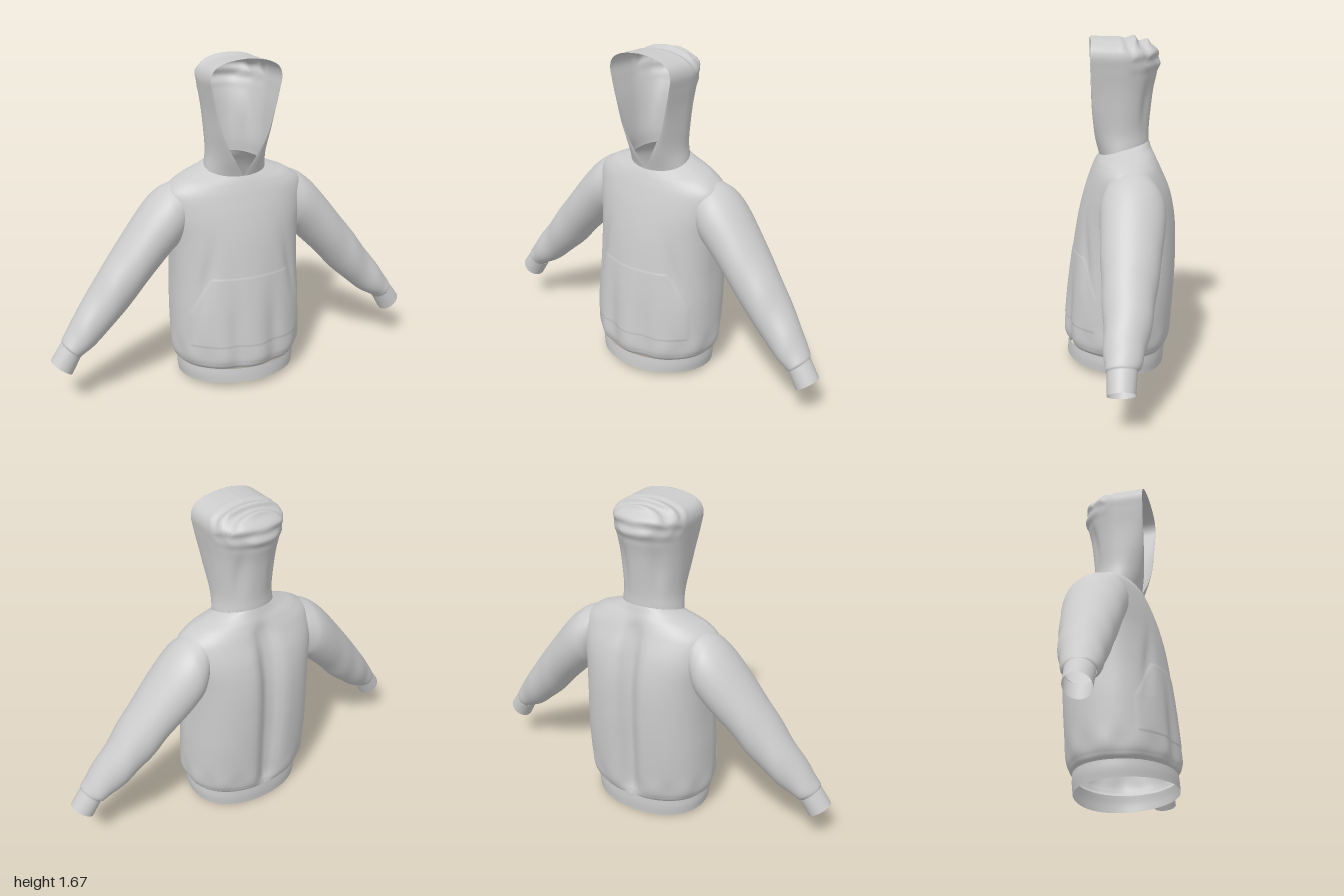
import * as THREE from 'three';
import { ParametricGeometry } from 'three/addons/geometries/ParametricGeometry.js';

const cloth = new THREE.MeshStandardMaterial({ color: 0xcccccc, side: THREE.DoubleSide, roughness: 0.9 });
const { lerp, smoothstep, clamp } = THREE.MathUtils;
const bump = (x, mid, width) => Math.exp(-(((x - mid) / width) ** 2));

// Smooth interpolation through a list of cross-sections; t runs 0..1
function sections(rows) {
  const spline = new THREE.CubicInterpolant(rows.map((_, i) => i), rows.flat(), rows[0].length);
  return t => Array.from(spline.evaluate(clamp(t, 0, 1) * (rows.length - 1)));
}

function surface(name, fn, nu, nv) {
  const mesh = new THREE.Mesh(new ParametricGeometry(fn, nu, nv), cloth);
  mesh.name = name;
  return mesh;
}

// Body: front y, back y, half width, front z, back z, back squareness, back groove depth
const bodyAt = sections([
  [0.115, 0.100, 0.315, 0.264, -0.235, 2.2, 0.00],
  [0.140, 0.125, 0.333, 0.278, -0.250, 2.2, 0.02],
  [0.200, 0.190, 0.345, 0.283, -0.264, 2.3, 0.045],
  [0.400, 0.400, 0.345, 0.265, -0.280, 2.5, 0.055],
  [0.600, 0.600, 0.338, 0.238, -0.288, 2.6, 0.055],
  [0.770, 0.780, 0.342, 0.210, -0.283, 2.6, 0.055],
  [0.900, 0.920, 0.362, 0.178, -0.256, 2.6, 0.05],
  [1.000, 1.030, 0.362, 0.144, -0.210, 2.5, 0.03],
  [1.050, 1.090, 0.305, 0.123, -0.182, 2.3, 0.01],
  [1.075, 1.130, 0.222, 0.110, -0.160, 2.1, 0.00],
  [1.090, 1.160, 0.160, 0.100, -0.150, 2.0, 0.00],
]);

function bodyPoint(a, t, target, puff = 0) {
  const [yf, yb, hw, zf, zb, n, groove] = bodyAt(t);
  const s = Math.sin(a), c = Math.cos(a);
  const y = lerp(yf, yb, (1 - c) / 2);
  const power = c > 0 ? 1 : 2 / n;
  const gather = 1 + puff + 0.014 * Math.sin(11 * a + 0.6) * bump(y, 0.18, 0.06);
  const x = hw * Math.sign(s) * Math.abs(s) ** power;
  let z = c > 0 ? zf * c : zb * Math.abs(c) ** power;
  if (c < 0) {
    // centre-back valley
    z += groove * bump(x, 0, 0.055);
  } else {
    // centre-front peak and slanting folds running down from the chest
    z -= 0.018 * bump(Math.abs(x), 0.1, 0.05) * bump(y, 0.25, 0.25);
    z -= 0.018 * bump(Math.abs(x), 0.2 + 0.2 * (0.75 - y), 0.03) * bump(y, 0.58, 0.16) * c;
  }
  target.set(x * gather, y, z * gather);
}

// Ribbed hem band, slightly raised at the front
const hemAt = sections([
  [0.040, 0.004, 0.310, 0.270, -0.230],
  [0.078, 0.055, 0.316, 0.268, -0.235],
  [0.115, 0.100, 0.315, 0.264, -0.235],
]);
function hemPoint(u, v, target) {
  const [yf, yb, hw, zf, zb] = hemAt(v);
  const a = u * Math.PI * 2, s = Math.sin(a), c = Math.cos(a);
  const p = c > 0 ? 1 : 2 / 2.2;
  target.set(hw * Math.sign(s) * Math.abs(s) ** p, lerp(yf, yb, (1 - c) / 2),
    c > 0 ? zf * c : zb * Math.abs(c) ** p);
}

// Front pouch: square below, slanted hand openings above
function pocketPoint(u, v, target) {
  const half = lerp(1.13, 0.66, clamp((v - 0.45) / 0.55, 0, 1));
  const edge = Math.min(u, 1 - u, v, 1 - v);
  bodyPoint((u * 2 - 1) * half, lerp(0.222, 0.405, v), target, 0.002 + 0.01 * smoothstep(edge, 0, 0.05));
}

// Hood: edge y, back y, edge x, edge z, half width, widest z, back z
const hoodAt = sections([
  [1.090, 1.160, 0.000, 0.100, 0.160, 0.000, -0.150],
  [1.185, 1.220, 0.056, 0.122, 0.152, 0.000, -0.150],
  [1.300, 1.310, 0.115, 0.134, 0.158, 0.000, -0.158],
  [1.420, 1.420, 0.152, 0.138, 0.169, 0.000, -0.172],
  [1.520, 1.510, 0.176, 0.141, 0.183, 0.000, -0.193],
  [1.585, 1.570, 0.186, 0.142, 0.190, -0.010, -0.205],
  [1.630, 1.615, 0.168, 0.142, 0.172, -0.010, -0.188],
  [1.657, 1.645, 0.122, 0.142, 0.126, -0.010, -0.152],
  [1.670, 1.662, 0.062, 0.142, 0.065, -0.010, -0.110],
  [1.675, 1.668, 0.000, 0.142, 0.000, -0.010, -0.070],
]);
function hoodPoint(u, v, target) {
  const [ye, yb, ex, ez, hw, zm, zb] = hoodAt(v);
  const a = u * Math.PI * 2, s = Math.sin(a), c = Math.cos(a);
  const side = u < 0.5 ? 1 : -1;
  let y = lerp(ye, yb, (1 - c) / 2);
  let x, z;
  if (c > 0) {
    x = side * (ex + (hw - ex) * Math.abs(s));
    z = zm + (ez - zm) * c;
  } else {
    x = hw * s;
    z = zm + (zm - zb) * c;
  }
  // crumpled cloth at the back of the crown, soft folds below it
  const crumple = smoothstep(y, 1.46, 1.6) * smoothstep(-z, -0.03, 0.08);
  y += 0.011 * crumple * Math.sin(z * 75 + x * x * 60);
  z += 0.008 * crumple * Math.sin(y * 85 + x * x * 50);
  z += 0.016 * bump(y, 1.36, 0.13) * bump(Math.abs(x), 0.09, 0.03) * smoothstep(-c, 0, 0.4);
  target.set(x, y, z);
}

// Sleeve: top x, top y, bottom x, bottom y, centre z, half depth
const sleeveRows = [
  [0.265, 1.074, 0.322, 0.740, -0.043, 0.128],
  [0.325, 1.056, 0.330, 0.728, -0.048, 0.147],
  [0.390, 1.026, 0.350, 0.712, -0.050, 0.157],
  [0.470, 0.955, 0.405, 0.655, -0.046, 0.154],
  [0.600, 0.797, 0.490, 0.570, -0.032, 0.141],
  [0.705, 0.662, 0.585, 0.465, -0.020, 0.126],
  [0.800, 0.535, 0.685, 0.372, -0.008, 0.110],
  [0.880, 0.425, 0.770, 0.303, 0.010, 0.094],
  [0.930, 0.350, 0.832, 0.268, 0.020, 0.080],
  [0.940, 0.330, 0.853, 0.252, 0.024, 0.067],
];
const cuffRows = [
  [0.940, 0.330, 0.853, 0.252, 0.024, 0.067],
  [0.970, 0.290, 0.877, 0.210, 0.027, 0.065],
  [1.000, 0.248, 0.900, 0.170, 0.030, 0.063],
];
function tubePoint(rows, side, folds) {
  const at = sections(rows);
  return (u, v, target) => {
    const [tx, ty, bx, by, zc, rz] = at(v);
    const a = u * Math.PI * 2 * side;
    const fold = 1 + folds * Math.sin(v * 34 + 2 * Math.cos(a)) * Math.sin(a + 0.5) * smoothstep(v, 0.35, 0.6);
    const c = Math.cos(a) * fold, s = Math.sin(a) * fold;
    target.set(side * ((tx + bx) / 2 + (tx - bx) / 2 * c), (ty + by) / 2 + (ty - by) / 2 * c, zc + rz * s);
  };
}

export function createModel() {
  const model = new THREE.Group();
  model.name = 'hoodedSweatshirt';
  model.add(
    surface('body', (u, v, p) => bodyPoint(u * Math.PI * 2, v, p), 96, 70),
    surface('hemBand', hemPoint, 96, 6),
    surface('frontPocket', pocketPoint, 50, 40),
    surface('hood', hoodPoint, 80, 80),
  );
  for (const [label, side] of [['left', 1], ['right', -1]]) {
    const arm = new THREE.Group();
    arm.name = label + 'Arm';
    arm.add(
      surface(label + 'Sleeve', tubePoint(sleeveRows, side, 0.025), 40, 60),
      surface(label + 'Cuff', tubePoint(cuffRows, side, 0), 40, 4),
    );
    model.add(arm);
  }
  return model;
}
